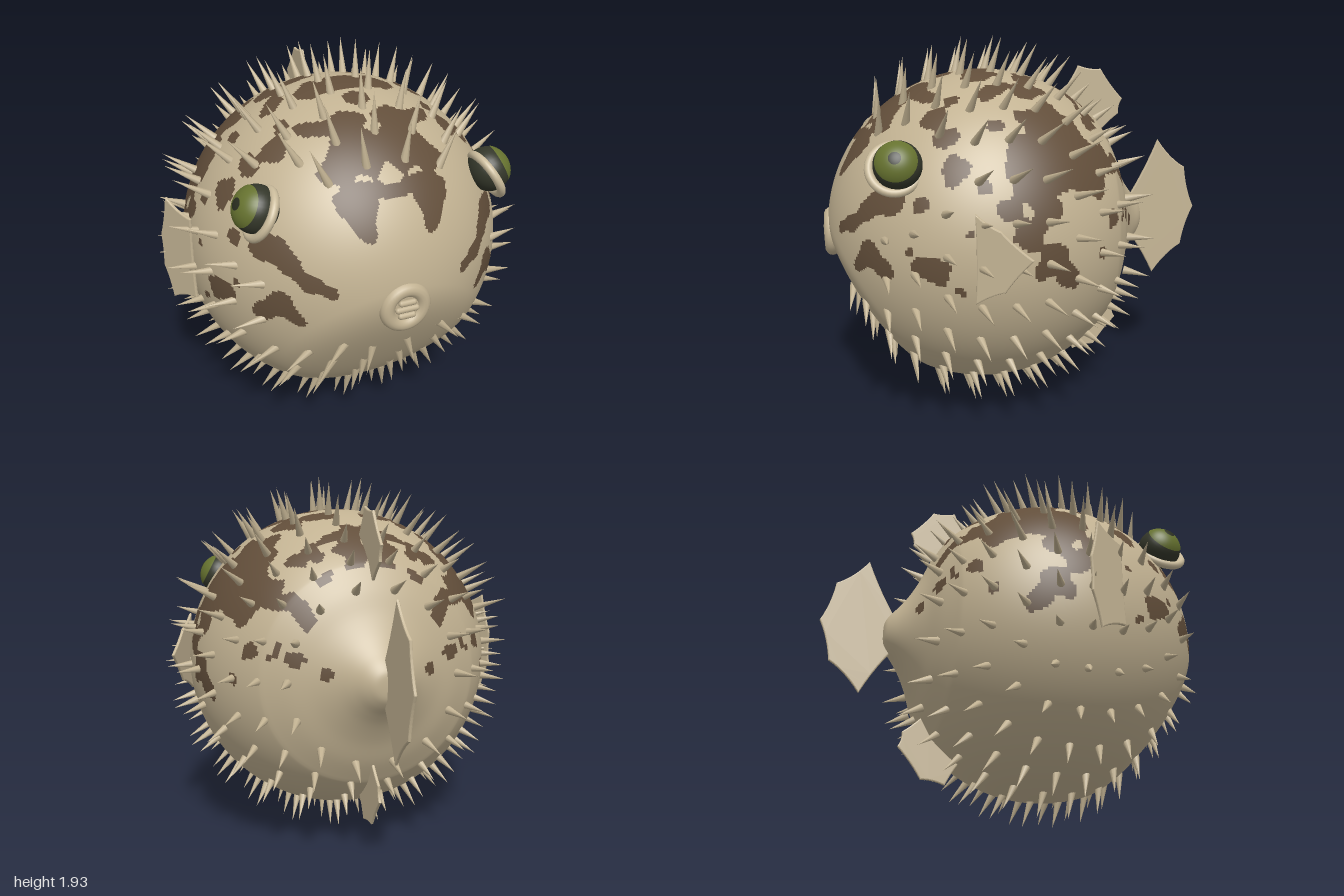
import * as THREE from 'three';
import { mergeGeometries, mergeVertices } from 'three/addons/utils/BufferGeometryUtils.js';

const mat = (name, color, side = THREE.FrontSide) => {
  const m = new THREE.MeshStandardMaterial({ color, side });
  m.name = name;
  return m;
};
const R = 0.818, CY = 0.933, CX = 0.17, YAW = 0.27;
const V = (x, y, z) => new THREE.Vector3(x, y, z);

// Flattened chin: softly squash whatever sticks out past a sloping plane
const chin = V(0.843, -0.538, 0);
function flattenChin(p) {
  const d = p.dot(chin) - 0.64;
  if (d > 0) p.addScaledVector(chin, 0.12 * (1 - Math.exp(-d / 0.12)) - d);
  return p;
}

// Brown patches: blob centres and radii on the flank (x, y, r), back (x, z, r) and rear quarter (across, up, r)
const flank = [
  [-0.3, 1.45, 0.09], [-0.15, 1.38, 0.08], [-0.08, 1.47, 0.05], [-0.22, 1.53, 0.05], [-0.2, 1.16, 0.07],
  [-0.12, 1.08, 0.06], [-0.22, 0.95, 0.08], [-0.31, 0.86, 0.06], [-0.03, 1.18, 0.06],
  [0.06, 1.27, 0.035], [0.2, 1.35, 0.055], [0.12, 1.11, 0.025], [0.28, 1.48, 0.065], [0.52, 1.2, 0.075],
  [0.6, 1.2, 0.06], [0.66, 1.13, 0.055], [0.73, 1.08, 0.045], [0.79, 1.04, 0.035], [0.33, 0.91, 0.06],
  [0.25, 0.88, 0.045], [0.17, 0.83, 0.025], [0.62, 0.93, 0.075], [0.55, 0.87, 0.045], [0.68, 0.88, 0.04],
  [0.75, 1.4, 0.065], [0.8, 1.33, 0.045], [0.38, 1.2, 0.04], [0.42, 0.98, 0.025],
];
const back = [
  [0.7, 0, 0.11], [0.62, 0.15, 0.08], [0.56, -0.04, 0.06], [0.8, 0.15, 0.055], [0.8, 0.35, 0.065],
  [0.62, 0.36, 0.06], [0.71, 0.4, 0.055], [0.36, 0.06, 0.05], [0.2, -0.02, 0.07], [0.2, 0.2, 0.06],
  [0.22, 0.1, 0.055], [0.05, -0.2, 0.075], [0.25, -0.15, 0.065], [0.3, -0.35, 0.045], [0.1, -0.35, 0.055],
  [0.05, 0.32, 0.065], [0.4, 0.35, 0.065], [0.35, 0.5, 0.055], [-0.1, 0.25, 0.06], [-0.2, 0.36, 0.075],
  [-0.35, 0.5, 0.1], [-0.15, 0.65, 0.1], [-0.1, 0.45, 0.055], [-0.4, 0.2, 0.045], [-0.3, 0.05, 0.045],
  [-0.35, -0.2, 0.1], [-0.22, -0.17, 0.065], [0.05, 0.55, 0.045], [0.15, -0.65, 0.09], [0.0, -0.58, 0.065],
  [0.3, -0.65, 0.06], [-0.05, 0.05, 0.05], [0.47, -0.3, 0.05], [0.46, 0.17, 0.05],
];
const rearQuarter = [
  [-0.35, 0.1, 0.08], [-0.2, 0.2, 0.09], [-0.06, 0.09, 0.08], [0.1, 0.03, 0.07], [0.18, -0.06, 0.045],
  [-0.18, 0, 0.07], [-0.5, 0.06, 0.05], [0.03, -0.2, 0.04], [0.15, -0.23, 0.05], [0.27, -0.28, 0.04],
  [-0.12, -0.22, 0.04], [-0.2, -0.32, 0.03], [0.22, 0.18, 0.045], [0.12, 0.32, 0.05],
];
const toLocal = p => {
  p.setLength(R).applyAxisAngle(V(0, 1, 0), YAW);
  p.z = Math.abs(p.z);
  return p;
};
const lift = (a, b) => Math.sqrt(Math.max(0, R * R - a * a - b * b));
const across = V(-0.82, 0, 0.57), up = V(0.241, 0.906, 0.347), out = V(-0.517, 0.423, -0.743);
const blobs = [
  ...flank.map(([x, y, r]) => ({ c: toLocal(V(x - CX, y - CY, lift(x - CX, y - CY))), r })),
  ...back.map(([x, z, r]) => ({ c: toLocal(V(x - CX, lift(x - CX, z), z)), r })),
  ...rearQuarter.map(([a, b, r]) => ({
    c: toLocal(V(0, 0, 0).addScaledVector(across, a).addScaledVector(up, b).addScaledVector(out, lift(a, b))), r,
  })),
];
function isPatch(p) {
  if (p.y < -0.2) return false;
  const q = V(p.x, p.y, Math.abs(p.z));
  const ripple = Math.sin(q.x * 38 + 1) * Math.sin(q.y * 41) + Math.sin(q.z * 36 + 2) * Math.sin(q.x * 27 + q.y * 30);
  q.x += 0.018 * Math.sin(q.y * 31 + q.z * 17);
  q.y += 0.018 * Math.sin(q.z * 29 + q.x * 23);
  q.z += 0.018 * Math.sin(q.x * 33 + q.y * 13);
  let f = 0;
  for (const { c, r } of blobs) f += Math.exp(-0.69 * (c.distanceToSquared(q) / (r * r)) ** 1.4);
  return f > 0.5 + 0.14 * ripple;
}

// Round body lathed along x, with a short flared tail root
function bodyGeometry() {
  const pts = [[0, -0.885], [0.06, -0.88], [0.105, -0.855], [0.16, -0.81], [0.225, -0.765], [0.32, -0.715]]
    .map(([r, u]) => new THREE.Vector2(r, u));
  const rear = new THREE.SplineCurve([...pts, new THREE.Vector2(0.44, -0.665), new THREE.Vector2(0.555, -0.6)]).getPoints(34);
  const a0 = Math.atan2(0.555, -0.6), n = 150;
  const arc = [];
  for (let i = 1; i <= n; i++) {
    const a = a0 * (1 - i / n);
    arc.push(new THREE.Vector2(R * Math.sin(a), R * Math.cos(a)));
  }
  let g = new THREE.LatheGeometry([...rear, ...arc], 320).rotateZ(-Math.PI / 2);
  g.deleteAttribute('uv');
  g.deleteAttribute('normal');
  g = mergeVertices(g, 1e-5);
  const pos = g.attributes.position, p = V(0, 0, 0);
  for (let i = 0; i < pos.count; i++) {
    flattenChin(p.fromBufferAttribute(pos, i));
    pos.setXYZ(i, p.x, p.y, p.z);
  }
  g.computeVertexNormals();
  // sort the quads into plain skin and patches
  const skin = [], patch = [], idx = g.index.array, b = V(0, 0, 0);
  for (let i = 0; i < idx.length; i += 6) {
    const quad = idx.slice(i, i + 6);
    p.set(0, 0, 0);
    quad.forEach(k => p.add(b.fromBufferAttribute(pos, k)));
    (isPatch(p.divideScalar(6)) ? patch : skin).push(...quad);
  }
  g.setIndex([...skin, ...patch]);
  g.addGroup(0, skin.length, 0);
  g.addGroup(skin.length, patch.length, 1);
  return g;
}

// Rings of spikes, swept backwards, leaving the face, eyes and tail free
function spikeGeometry(eye) {
  const list = [];
  for (let t = 26; t <= 148; t += 11) {
    const a = t * Math.PI / 180, n = Math.round(2 * Math.PI * R * Math.sin(a) / 0.195);
    for (let i = 0; i < n; i++) {
      const f = (i + 0.5) / n * Math.PI * 2;
      const d = V(Math.cos(a), -Math.sin(a) * Math.cos(f), Math.sin(a) * Math.sin(f));
      if (d.y > -0.28 && t < 47) continue;
      const p = flattenChin(d.clone().multiplyScalar(R - 0.005));
      if (V(p.x, p.y, Math.abs(p.z)).distanceTo(eye) < 0.22) continue;
      const dir = d.clone().add(V(-0.28 - 0.6 * Math.max(d.x, 0), 0, 0)).normalize();
      const len = d.x < -0.5 ? 0.14 : d.y > 0.3 ? 0.2 : 0.155;
      const g = new THREE.ConeGeometry(0.022, len, 8, 1, true).translate(0, len / 2 - 0.01, 0);
      g.applyQuaternion(new THREE.Quaternion().setFromUnitVectors(V(0, 1, 0), dir));
      list.push(g.translate(p.x, p.y, p.z));
    }
  }
  return mergeGeometries(list);
}

// Thin fin with scalloped edges
function finGeometry(pts) {
  const cx = pts.reduce((s, p) => s + p[0], 0) / pts.length;
  const cy = pts.reduce((s, p) => s + p[1], 0) / pts.length;
  const s = new THREE.Shape();
  s.moveTo(...pts[0]);
  pts.forEach((p, i) => {
    const q = pts[(i + 1) % pts.length];
    const mx = (p[0] + q[0]) / 2, my = (p[1] + q[1]) / 2;
    s.quadraticCurveTo(mx + (cx - mx) * 0.1, my + (cy - my) * 0.1, q[0], q[1]);
  });
  return new THREE.ExtrudeGeometry(s, {
    depth: 0.006, bevelEnabled: true, bevelThickness: 0.005, bevelSize: 0.006, bevelOffset: -0.006, bevelSegments: 2, curveSegments: 6,
  }).translate(0, 0, -0.003);
}

export function createModel() {
  const skin = mat('tan skin', 0xc2b292), brown = mat('brown patch', 0x624e3a);
  const spikeMat = mat('spike', 0xc2b292, THREE.DoubleSide), finMat = mat('fin', 0xc6b696, THREE.DoubleSide);
  const green = mat('green iris', 0x66722f), dark = mat('dark eye', 0x34372a), pupilMat = mat('pupil', 0x2a2e20);
  const lid = mat('eyelid', 0xcabb9b);

  const model = new THREE.Group();
  model.name = 'pufferfish';
  const fish = new THREE.Group();
  fish.name = 'fish';
  fish.position.set(CX, CY, 0);
  fish.rotation.y = -YAW;
  model.add(fish);
  const add = (parent, name, geo, m) => {
    const mesh = new THREE.Mesh(geo, m);
    mesh.name = name;
    parent.add(mesh);
    return mesh;
  };

  const eyePos = V(0.475, 0.44, 0.59);
  add(fish, 'body', bodyGeometry(), [skin, brown]);
  add(fish, 'spikes', spikeGeometry(eyePos), spikeMat);

  // Tail, dorsal and anal fins
  add(fish, 'tailFin', finGeometry([[-0.8, 0.06], [-0.985, 0.42], [-1.15, 0.26], [-1.215, 0.03], [-1.15, -0.19], [-0.985, -0.35], [-0.8, -0.06]]), finMat);
  const topFin = [[-0.4, 0.65], [-0.52, 0.83], [-0.645, 0.81], [-0.77, 0.65], [-0.75, 0.57], [-0.6, 0.42]];
  add(fish, 'dorsalFin', finGeometry(topFin), finMat);
  add(fish, 'analFin', finGeometry(topFin.map(([x, y]) => [x, 0.04 - y]).reverse()), finMat);

  // Mouth: round lips with three tooth bars inside
  const mouth = new THREE.Group();
  mouth.name = 'mouth';
  mouth.position.set(0.8, -0.01, 0);
  mouth.rotation.y = Math.PI / 2;
  fish.add(mouth);
  add(mouth, 'lips', new THREE.TorusGeometry(0.09, 0.037, 14, 40), skin);
  add(mouth, 'mouthInside', new THREE.CircleGeometry(0.075, 24), skin).position.z = 0.02;
  for (const i of [-1, 0, 1]) {
    const bar = add(mouth, 'tooth', new THREE.CapsuleGeometry(0.015, i ? 0.06 : 0.09, 4, 10), skin);
    bar.rotation.z = Math.PI / 2;
    bar.position.set(0, i * 0.034, 0.026);
  }

  // Eyes and pectoral fins on both sides; the right fin is narrower and pointed
  const leftFin = [[0.0, 0.26], [-0.18, 0.32], [-0.24, 0.1], [-0.24, -0.08], [-0.18, -0.25], [0.0, -0.18]];
  const rightFin = [[0.03, 0.25], [-0.09, 0.18], [-0.24, 0.06], [-0.11, -0.1], [0.03, -0.17]];
  for (const side of [1, -1]) {
    const half = new THREE.Group();
    half.name = side > 0 ? 'leftSide' : 'rightSide';
    half.scale.z = side;
    fish.add(half);

    const eye = new THREE.Group();
    eye.name = 'eye';
    eye.position.copy(eyePos);
    eye.quaternion.setFromUnitVectors(V(0, 1, 0), V(0.16, 0.47, 0.87).normalize());
    eye.scale.y = 0.92;
    half.add(eye);
    add(eye, 'eyeball', new THREE.SphereGeometry(0.112, 32, 24), dark);
    add(eye, 'iris', new THREE.SphereGeometry(0.115, 32, 12, 0, Math.PI * 2, 0, 1.0), green);
    add(eye, 'pupil', new THREE.SphereGeometry(0.118, 16, 6, 0, Math.PI * 2, 0, 0.25), pupilMat);

    const ringAxis = V(0, 0.5, 0.86).normalize();
    const ring = add(half, 'eyelid', new THREE.TorusGeometry(0.114, 0.021, 12, 40), lid);
    ring.position.copy(eyePos).addScaledVector(ringAxis, -0.02).add(V(0.015, -0.01, 0));
    ring.quaternion.setFromUnitVectors(V(0, 0, 1), ringAxis);

    const fin = add(half, 'pectoralFin', finGeometry(side > 0 ? leftFin : rightFin), finMat);
    fin.position.set(0.13, 0, 0.81);
    fin.rotation.y = 0.48;
  }
  return model;
}
